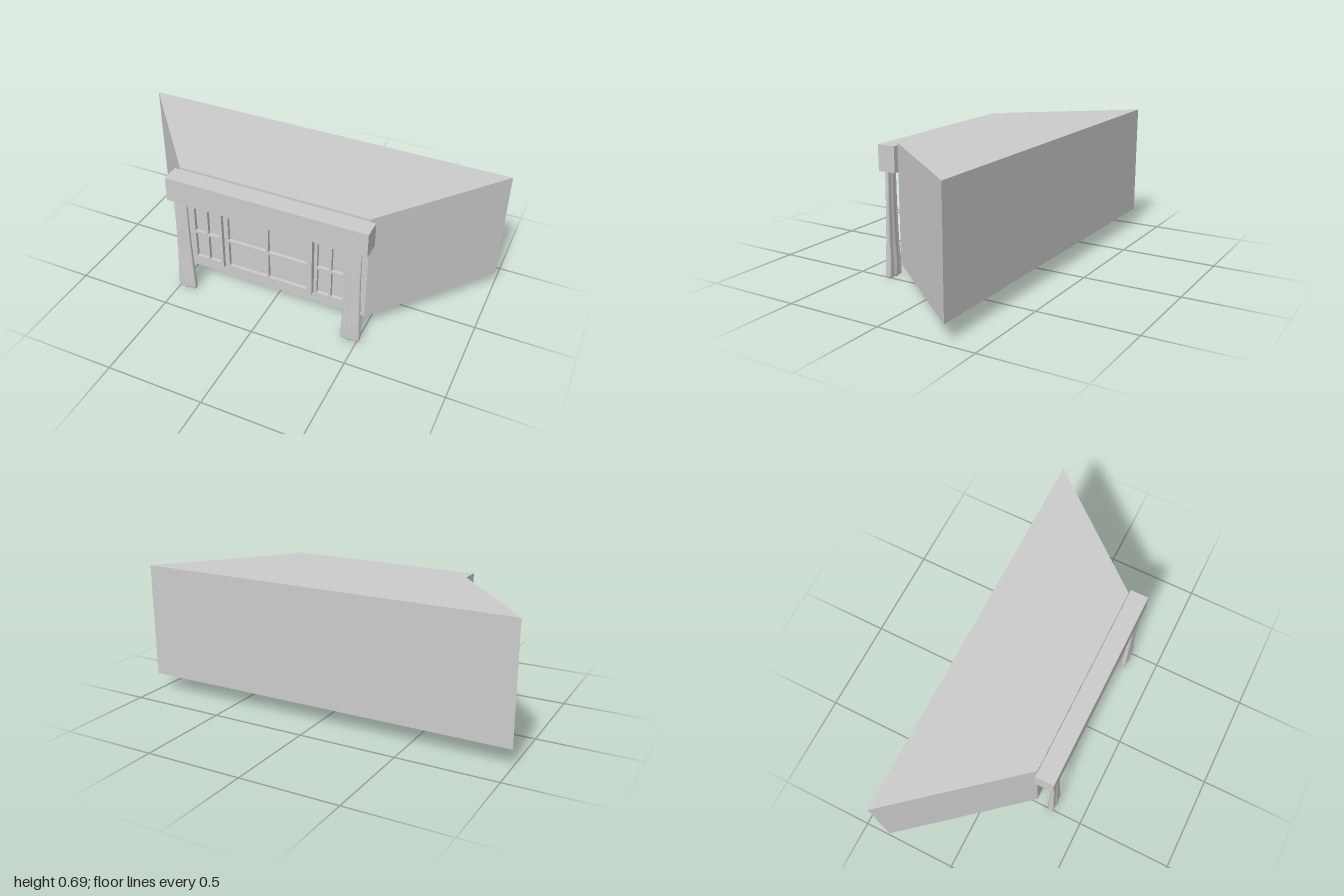
import * as THREE from 'three';

const grey = new THREE.MeshStandardMaterial({ color: 0xcccccc });

function mesh(name, geometry, material = grey) {
  const m = new THREE.Mesh(geometry, material);
  m.name = name;
  return m;
}

function box(name, w, h, d, x, y, z) {
  const m = mesh(name, new THREE.BoxGeometry(w, h, d));
  m.position.set(x, y, z);
  return m;
}

// Rectangle path with small rounded corners
function roundedRect(path, x0, y0, x1, y1, r) {
  path.moveTo(x0 + r, y0);
  path.lineTo(x1 - r, y0);
  path.quadraticCurveTo(x1, y0, x1, y0 + r);
  path.lineTo(x1, y1 - r);
  path.quadraticCurveTo(x1, y1, x1 - r, y1);
  path.lineTo(x0 + r, y1);
  path.quadraticCurveTo(x0, y1, x0, y1 - r);
  path.lineTo(x0, y0 + r);
  path.quadraticCurveTo(x0, y0, x0 + r, y0);
  return path;
}

// Window sash with a two by two grid of openings and recessed glass
function windowUnit(name, cx, width, border) {
  const group = new THREE.Group();
  group.name = name;
  const y0 = 0.181, y1 = 0.533, rail = 0.025, bar = 0.012;
  const hw = width / 2, mid = (y0 + y1) / 2 + 0.004;
  const shape = new THREE.Shape([
    new THREE.Vector2(-hw, y0), new THREE.Vector2(hw, y0),
    new THREE.Vector2(hw, y1), new THREE.Vector2(-hw, y1)]);
  for (const [xa, xb] of [[-hw + border, -bar / 2], [bar / 2, hw - border]]) {
    for (const [ya, yb] of [[y0 + rail, mid - bar / 2], [mid + bar / 2, y1 - rail]]) {
      shape.holes.push(roundedRect(new THREE.Path(), xa, ya, xb, yb, 0.004));
    }
  }
  const frame = mesh('windowFrame', new THREE.ExtrudeGeometry(shape, { depth: 0.037, bevelEnabled: false, curveSegments: 3 }));
  frame.position.z = 0.27;
  group.add(frame, box('windowGlass', width - border, y1 - y0 - rail, 0.008, 0, (y0 + y1) / 2, 0.285));
  group.position.x = cx;
  return group;
}

// Hanging curtain: folded oval cross-sections that flare towards the hem
function curtainGeometry(phase) {
  // height, half width, half depth, centre z
  const rows = [
    [0.003, 0.046, 0.017, 0.329], [0, 0.049, 0.020, 0.329], [0.012, 0.051, 0.0215, 0.329],
    [0.09, 0.048, 0.0215, 0.329], [0.14, 0.045, 0.018, 0.329], [0.18, 0.043, 0.0155, 0.329],
    [0.26, 0.040, 0.0145, 0.329], [0.38, 0.037, 0.013, 0.329], [0.55, 0.035, 0.0125, 0.328]];
  const n = 48, pos = [], idx = [];
  rows.forEach(([y, w, d, z]) => {
    for (let i = 0; i < n; i++) {
      const a = (i / n) * Math.PI * 2;
      const c = Math.cos(a), s = Math.sin(a);
      const px = Math.sign(c) * Math.pow(Math.abs(c), 0.8) * w;
      const fold = 0.84 + 0.16 * Math.cos((px / w) * 7 + phase);
      pos.push(px, y, z + Math.sign(s) * Math.pow(Math.abs(s), 0.6) * d * fold);
    }
  });
  for (let r = 0; r < rows.length - 1; r++) {
    for (let i = 0; i < n; i++) {
      const a = r * n + i, b = r * n + (i + 1) % n;
      idx.push(a, a + n, b, b, a + n, b + n);
    }
  }
  // Close the hem and the top
  const bottom = pos.length / 3, top = bottom + 1, last = (rows.length - 1) * n;
  pos.push(0, 0.003, 0.329, 0, 0.55, 0.328);
  for (let i = 0; i < n; i++) {
    const j = (i + 1) % n;
    idx.push(bottom, i, j, top, last + j, last + i);
  }
  const g = new THREE.BufferGeometry();
  g.setAttribute('position', new THREE.Float32BufferAttribute(pos, 3));
  g.setIndex(idx);
  g.computeVertexNormals();
  return g;
}

export function createModel() {
  const model = new THREE.Group();
  model.name = 'bayWindow';

  // Tapered bay body, wide at the back
  const plan = new THREE.Shape([
    new THREE.Vector2(-0.5, -0.25), new THREE.Vector2(0.5, -0.25),
    new THREE.Vector2(1, 0.35), new THREE.Vector2(-1, 0.35)]);
  const bodyGeo = new THREE.ExtrudeGeometry(plan, { depth: 0.6, bevelEnabled: false });
  bodyGeo.rotateX(-Math.PI / 2);
  const body = mesh('bayBody', bodyGeo);
  body.position.y = 0.09;
  model.add(body);

  // Pelmet box above the windows
  model.add(box('pelmet', 1.054, 0.13, 0.095, 0, 0.612, 0.2985));

  // Wide centre window with a narrow one on each side
  model.add(windowUnit('centreWindow', 0, 0.476, 0.024));
  for (const [side, x] of [['left', 1], ['right', -1]]) {
    model.add(windowUnit(side + 'Window', x * 0.334, 0.168, 0.016));
    const curtain = mesh(side + 'Curtain', curtainGeometry(x > 0 ? 0.6 : -0.3));
    curtain.position.x = x * 0.461;
    model.add(curtain);
  }
  return model;
}
